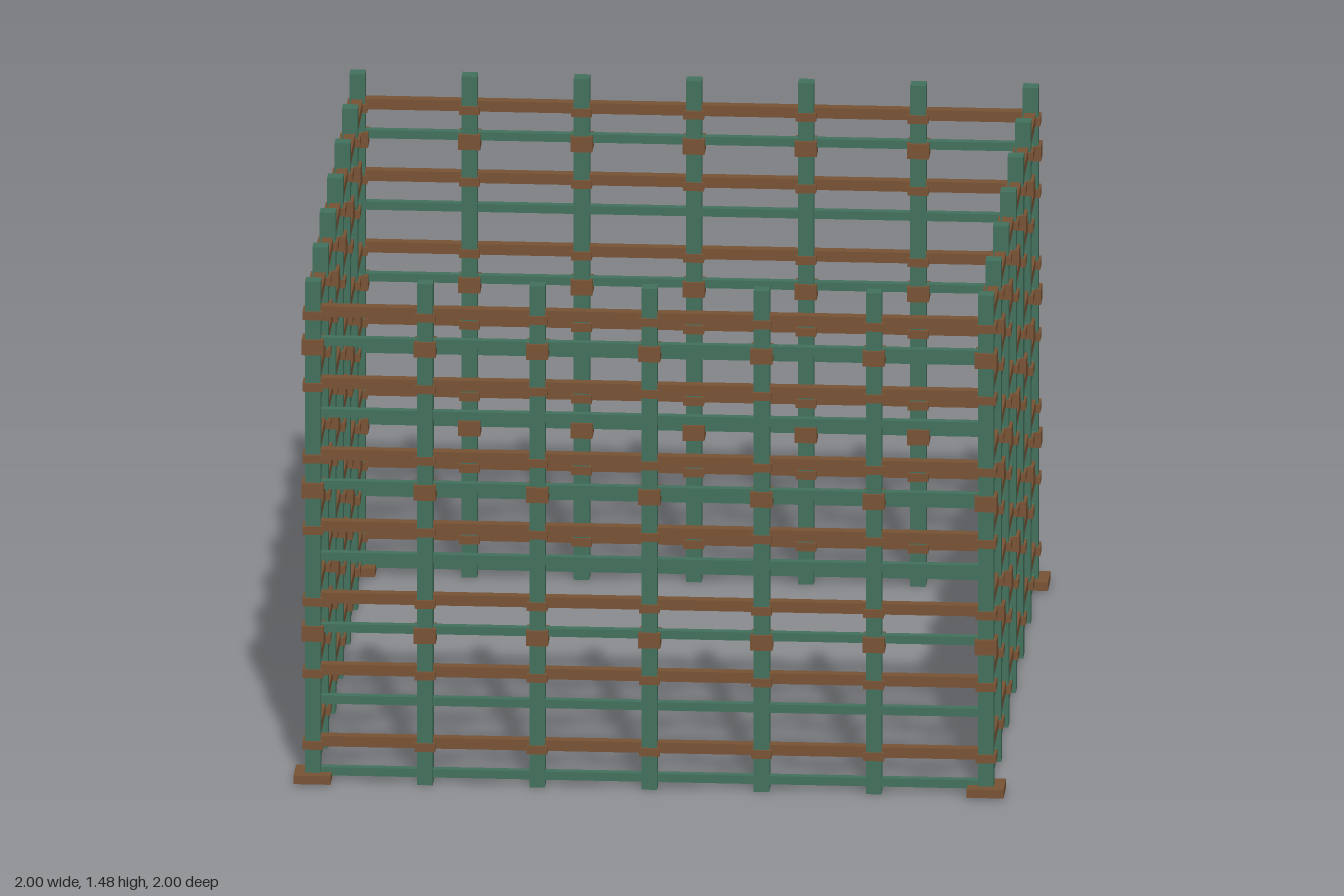
import * as THREE from 'three';

const HALF = 0.948;     // distance from centre to each fence line
const BAYS = 6;         // bays per side
const POST_H = 1.48;
const LEVELS = 7;
const STEP = 0.2115;    // vertical spacing of the rails

export function createModel() {
  const model = new THREE.Group();
  model.name = 'squareFence';

  const green = new THREE.MeshStandardMaterial({ color: 0x41705c });
  green.name = 'green paint';
  const brown = new THREE.MeshStandardMaterial({ color: 0x775234 });
  brown.name = 'brown wood';

  const box = (parent, name, material, w, h, d, x, y, z) => {
    const mesh = new THREE.Mesh(new THREE.BoxGeometry(w, h, d), material);
    mesh.name = name;
    mesh.position.set(x, y, z);
    parent.add(mesh);
  };

  // Four identical sides, each owning its first corner post
  for (let s = 0; s < 4; s++) {
    const side = new THREE.Group();
    side.name = 'fenceSide';
    side.rotation.y = s * Math.PI / 2;
    model.add(side);

    for (let i = 0; i < BAYS; i++) {
      const x = -HALF + (i * 2 * HALF) / BAYS;
      box(side, 'post', green, 0.044, POST_H, 0.044, x, POST_H / 2, HALF);

      // Thin collars under the brown rails
      for (let k = 0; k < LEVELS; k++) {
        box(side, 'railCollar', brown, 0.058, 0.024, 0.058, x, 0.112 + k * STEP, HALF);
      }
      // Taller clamps around every second green rail
      for (let k = 0; k < 3; k++) {
        box(side, 'postClamp', brown, 0.062, 0.044, 0.062, x, 0.442 + k * 2 * STEP, HALF);
      }
    }

    // Alternating green and brown rails
    for (let k = 0; k < LEVELS; k++) {
      box(side, 'greenRail', green, 2 * HALF, 0.024, 0.024, 0, 0.032 + k * STEP, HALF);
      box(side, 'brownRail', brown, 2 * HALF, 0.031, 0.031, 0, 0.122 + k * STEP, HALF);
    }

    // Corner foot plate
    box(side, 'footPlate', brown, 0.104, 0.025, 0.104, -HALF, 0.0175, HALF);
  }

  return model;
}
